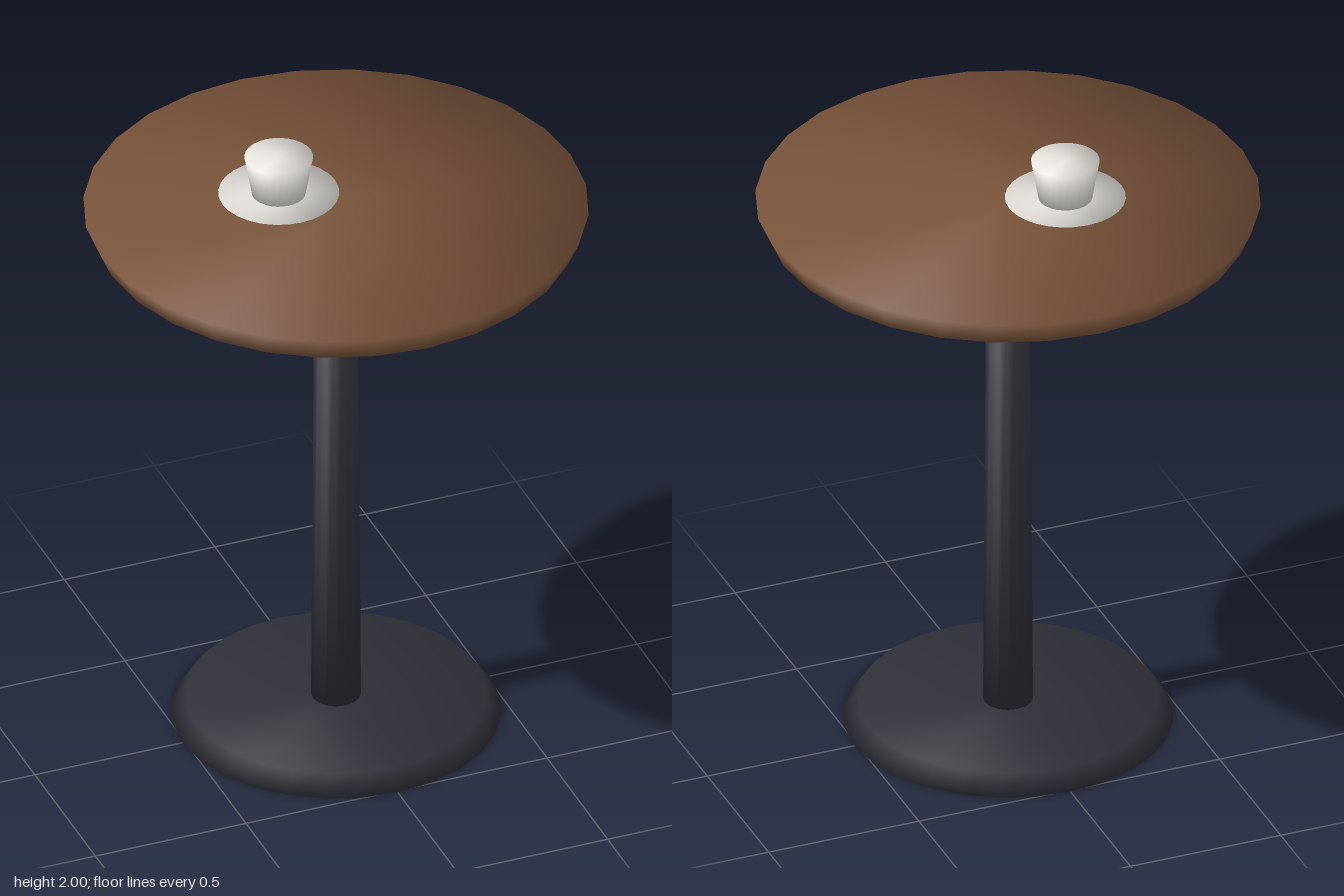
import * as THREE from 'three';

const material = (name, color) => {
  const m = new THREE.MeshStandardMaterial({ color });
  m.name = name;
  return m;
};

// Solid frustum whose normals blend softly over the rims
function softFrustum(name, mat, rTop, rBottom, y0, y1, sides, x = 0, z = 0) {
  const h = y1 - y0;
  const geo = new THREE.CylinderGeometry(rTop, rBottom, h, sides);
  const pos = geo.attributes.position;
  const side = new THREE.Vector3();
  for (let i = 0; i < pos.count; i++) {
    const r = Math.hypot(pos.getX(i), pos.getZ(i));
    if (r < 1e-6) continue; // cap centres stay vertical
    side.set(pos.getX(i) / r, (rBottom - rTop) / h, pos.getZ(i) / r).normalize();
    side.y += Math.sign(pos.getY(i));
    side.normalize();
    geo.attributes.normal.setXYZ(i, side.x, side.y, side.z);
  }
  const mesh = new THREE.Mesh(geo, mat);
  mesh.name = name;
  mesh.position.set(x, (y0 + y1) / 2, z);
  return mesh;
}

export function createModel() {
  const wood = material('brown wood', 0x7a543b);
  const metal = material('dark metal', 0x2f2f38);
  const china = material('white china', 0xebe8e2);

  const group = new THREE.Group();
  group.name = 'cafeTable';

  // Pedestal and round top
  group.add(
    softFrustum('base', metal, 0.465, 0.51, 0, 0.06, 28),
    softFrustum('column', metal, 0.066, 0.077, 0.05, 1.775, 16),
    softFrustum('tableTop', wood, 0.78, 0.745, 1.764, 1.843, 28),
  );

  // Cup on its saucer, set off to one side
  const cx = -0.15, cz = -0.1;
  group.add(
    softFrustum('saucer', china, 0.187, 0.14, 1.841, 1.869, 28, cx, cz),
    softFrustum('cup', china, 0.106, 0.083, 1.867, 2.0, 28, cx, cz),
  );
  return group;
}
